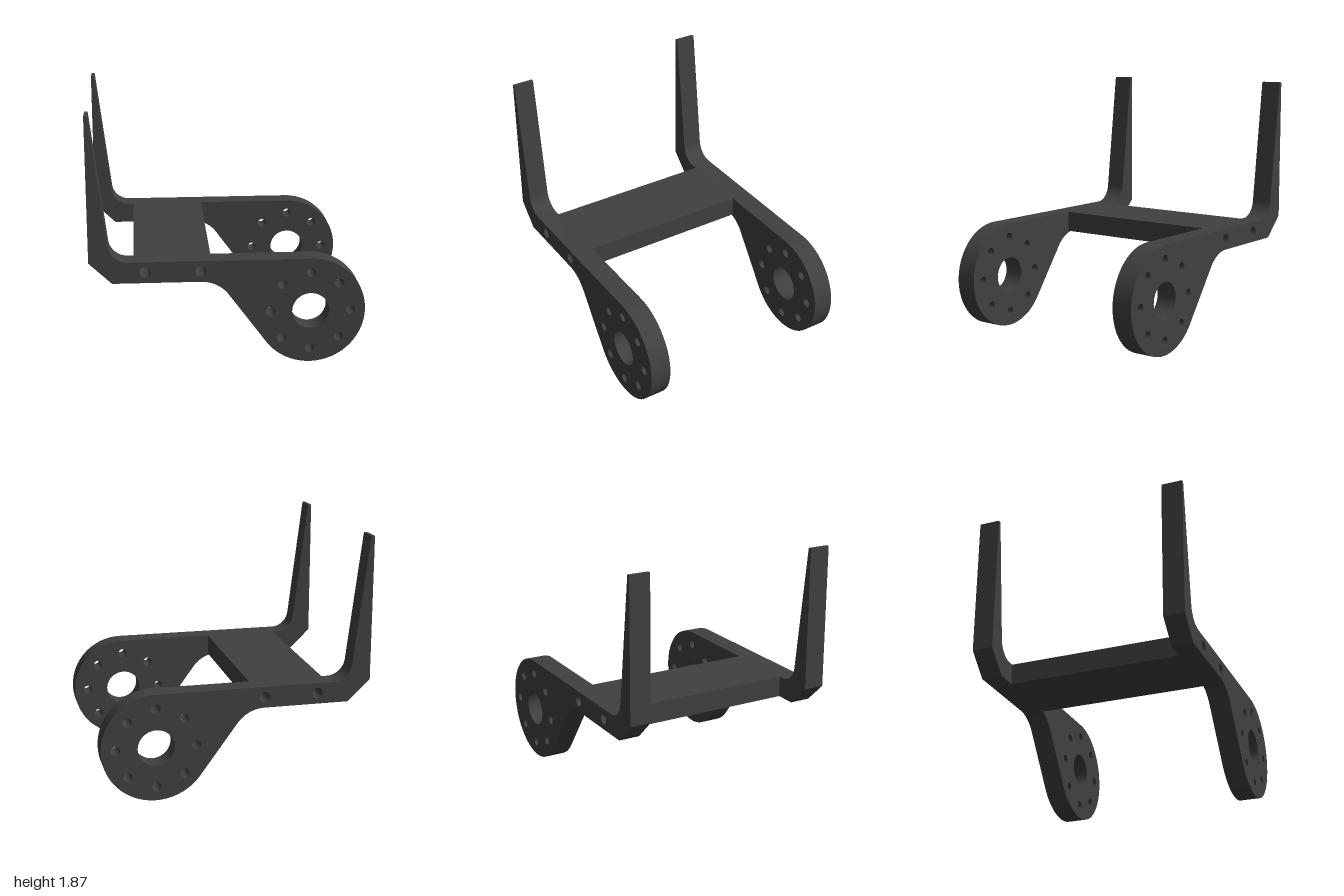
import * as THREE from 'three';
import { toCreasedNormals } from 'three/addons/utils/BufferGeometryUtils.js';

const INNER = 0.655, OUTER = 0.813; // z range of each side plate
const TOP = 0.8, UNDER = 0.643; // y range of the flat deck
const HUB = { x: 0.6, y: 0.4, r: 0.4 };

const material = new THREE.MeshStandardMaterial({ color: 0x404040 });

function addHole(shape, x, y, r) {
  shape.holes.push(new THREE.Path().absarc(x, y, r, 0, Math.PI * 2, true));
}

// The two holes that run through the plates and the deck
function addDeckHoles(shape) {
  for (const x of [-0.6, -0.2]) addHole(shape, x, 0.723, 0.04);
}

function extrude(name, shape, z0, z1) {
  const geometry = new THREE.ExtrudeGeometry(shape, {
    depth: z1 - z0, bevelEnabled: false, curveSegments: 32,
  });
  geometry.translate(0, 0, z0);
  const mesh = new THREE.Mesh(toCreasedNormals(geometry, 0.5), material);
  mesh.name = name;
  return mesh;
}

// Side outline: tapered upright, flat arm and round hub
function plateShape() {
  const fillet = { x: -0.2, y: UNDER - 0.25, r: 0.25 };
  // Angle of the straight edge that touches both the fillet and the hub
  const dx = HUB.x - fillet.x, dy = HUB.y - fillet.y;
  const a = Math.acos((HUB.r + fillet.r) / Math.hypot(dx, dy)) + Math.atan2(dy, dx);

  const s = new THREE.Shape();
  s.moveTo(-1, TOP);
  s.lineTo(-0.835, UNDER);
  s.lineTo(fillet.x, UNDER);
  s.absarc(fillet.x, fillet.y, fillet.r, Math.PI / 2, a, true);
  s.absarc(HUB.x, HUB.y, HUB.r, a + Math.PI, Math.PI * 2.5, false);
  s.absarc(-0.72, TOP + 0.14, 0.14, Math.PI * 1.5, Math.PI + 0.122, true);
  s.lineTo(-0.975, 1.868);
  s.lineTo(-1, 1.868);
  s.closePath();

  // Hub bore and its ring of bolt holes
  addHole(s, HUB.x, HUB.y, 0.135);
  for (let i = 0; i < 8; i++) {
    const t = (i * Math.PI) / 4;
    addHole(s, HUB.x + 0.294 * Math.cos(t), HUB.y + 0.294 * Math.sin(t), 0.034);
  }
  addDeckHoles(s);
  return s;
}

// Cross-section of the deck joining the plates
function deckShape() {
  const s = new THREE.Shape();
  s.moveTo(-0.68, UNDER);
  s.lineTo(-0.122, UNDER);
  s.lineTo(-0.122, TOP);
  s.lineTo(-0.68, TOP);
  s.closePath();
  addDeckHoles(s);
  return s;
}

export function createModel() {
  const group = new THREE.Group();
  group.name = 'bracket';
  const plate = plateShape();
  group.add(
    extrude('frontSidePlate', plate, INNER, OUTER),
    extrude('backSidePlate', plate, -OUTER, -INNER),
    extrude('deck', deckShape(), -INNER, INNER),
  );
  return group;
}
